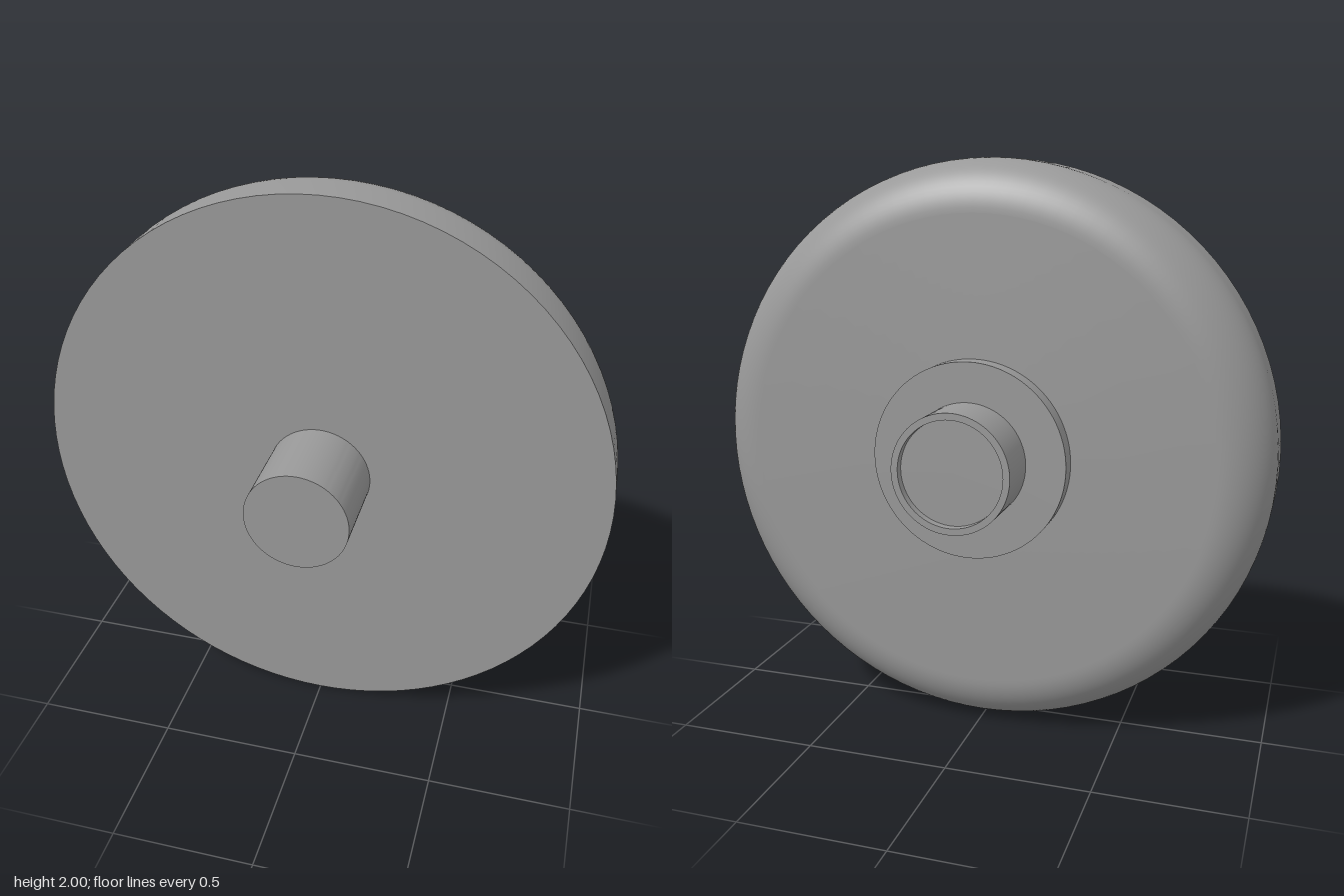
import * as THREE from 'three';
import { toCreasedNormals } from 'three/addons/utils/BufferGeometryUtils.js';

const RADIUS = 1;
const FILLET = 0.18;
const FRONT = 0.135;  // front face of the disc
const BACK = -0.183;  // back face of the disc

export function createModel() {
  const group = new THREE.Group();
  const grey = new THREE.MeshStandardMaterial({ color: 0x999999 });
  grey.name = 'plain grey';

  // Turn a [radius, z] profile, listed from back to front, about the z axis
  function turned(name, profile) {
    const points = profile.map(([r, z]) => new THREE.Vector2(r, z));
    const geometry = toCreasedNormals(new THREE.LatheGeometry(points, 96), 0.6);
    geometry.rotateX(Math.PI / 2);
    const mesh = new THREE.Mesh(geometry, grey);
    mesh.name = name;
    mesh.position.y = RADIUS;
    group.add(mesh);
  }

  // Wheel disc with a rounded back edge
  const disc = [[0, BACK]];
  for (let i = 0; i <= 16; i++) {
    const a = (i / 16) * Math.PI / 2;
    disc.push([
      RADIUS - FILLET + FILLET * Math.sin(a),
      BACK + FILLET - FILLET * Math.cos(a),
    ]);
  }
  disc.push([RADIUS, FRONT], [0, FRONT]);
  turned('disc', disc);

  // Shaft stub on the front
  turned('frontShaft', [[0.18, FRONT], [0.18, 0.432], [0, 0.432]]);

  // Stepped collar against the back face
  turned('backFlange', [[0, -0.248], [0.34, -0.248], [0.34, BACK]]);

  // Hub sleeve with a shallow recess in its end
  turned('backHub', [
    [0, -0.402], [0.18, -0.402], [0.18, -0.432],
    [0.203, -0.432], [0.203, -0.248],
  ]);

  return group;
}
